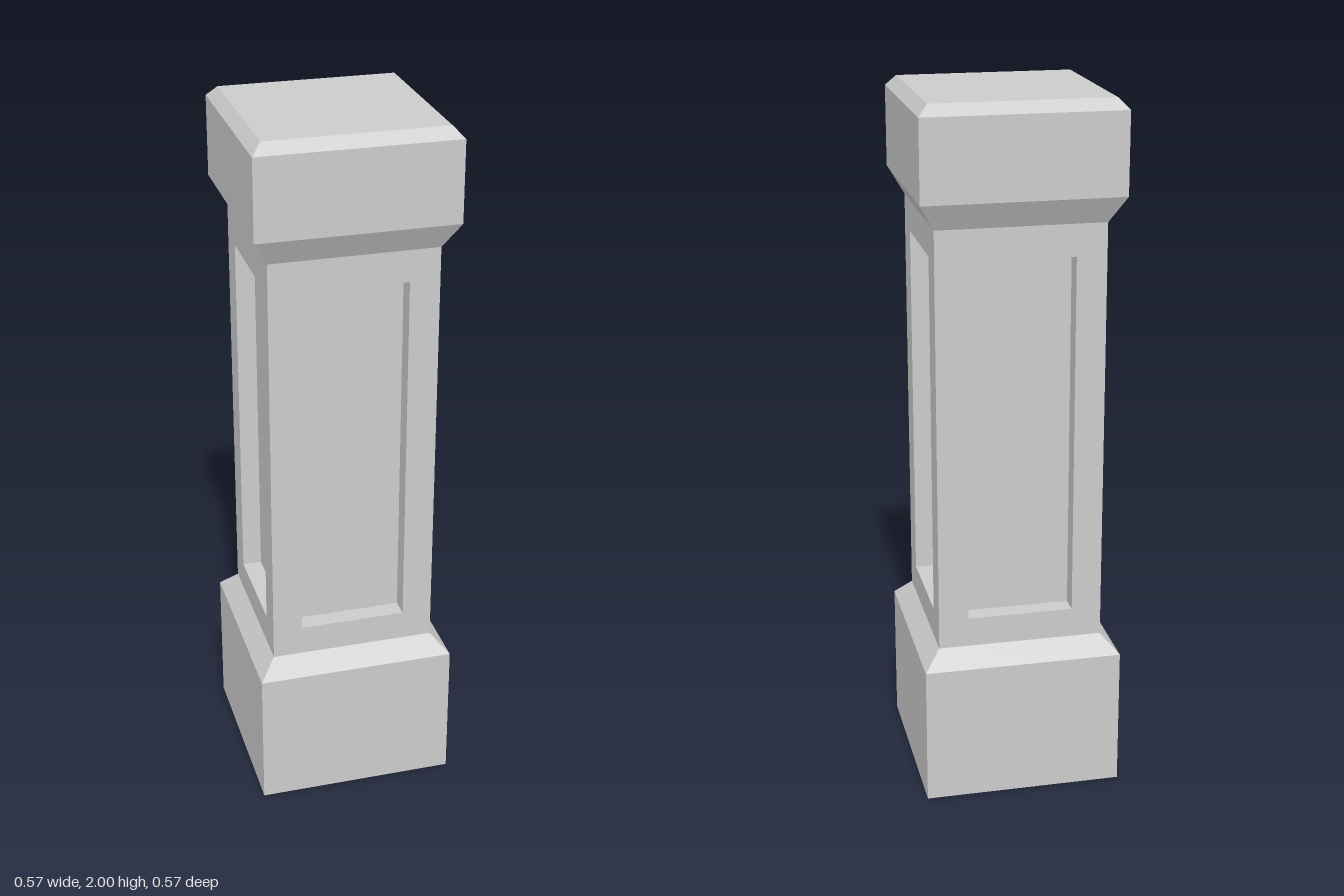
import * as THREE from 'three';

const SHAFT = 0.236;              // half width of the shaft
const Y0 = 0.455, Y1 = 1.667;     // shaft bottom and top
const PANEL = { w: 0.151, y0: 0.54, y1: 1.577, depth: 0.055 };

export function createModel() {
  const group = new THREE.Group();
  const stone = new THREE.MeshStandardMaterial({ color: 0xcccccc, flatShading: true });

  const add = (parent, name, geometry) => {
    const mesh = new THREE.Mesh(geometry, stone);
    mesh.name = name;
    parent.add(mesh);
    return mesh;
  };

  // Square block from a profile of [half width, height], bottom to top
  const squareBlock = (profile) => new THREE.LatheGeometry(
    profile.map(([h, y]) => new THREE.Vector2(h * Math.SQRT2, y)), 4, Math.PI / 4);

  add(group, 'plinth', squareBlock([[0, 0], [0.284, 0], [0.284, 0.403], [SHAFT, Y0]]));
  add(group, 'cap', squareBlock([[SHAFT, Y1], [0.279, 1.742], [0.279, 1.97], [0.251, 2], [0, 2]]));

  const rectangle = (Type, w, y0, y1) => new Type().setFromPoints(
    [[-w, y0], [w, y0], [w, y1], [-w, y1]].map(([x, y]) => new THREE.Vector2(x, y)));

  // One shaft face: a frame around a recessed panel
  const { w, y0, y1, depth } = PANEL;
  const h = y1 - y0, midY = (y0 + y1) / 2, midZ = SHAFT - depth / 2;
  const frame = rectangle(THREE.Shape, SHAFT, Y0, Y1);
  frame.holes.push(rectangle(THREE.Path, w, y0, y1));
  const frameGeo = new THREE.ShapeGeometry(frame).translate(0, 0, SHAFT);
  const panelGeo = new THREE.PlaneGeometry(2 * w, h).translate(0, midY, SHAFT - depth);
  const sill = new THREE.PlaneGeometry(2 * w, depth).rotateX(-Math.PI / 2).translate(0, y0, midZ);
  const lintel = new THREE.PlaneGeometry(2 * w, depth).rotateX(Math.PI / 2).translate(0, y1, midZ);
  const jamb = (s) => new THREE.PlaneGeometry(depth, h).rotateY(-s * Math.PI / 2).translate(s * w, midY, midZ);
  const jambs = [jamb(1), jamb(-1)];

  // The same face on all four sides
  ['front', 'left', 'back', 'right'].forEach((side, i) => {
    const face = new THREE.Group();
    face.name = side + 'ShaftFace';
    face.rotation.y = i * Math.PI / 2;
    add(face, 'frame', frameGeo);
    add(face, 'recessedPanel', panelGeo);
    add(face, 'panelSill', sill);
    add(face, 'panelLintel', lintel);
    jambs.forEach((g, j) => add(face, j ? 'panelJambRight' : 'panelJambLeft', g));
    group.add(face);
  });

  return group;
}
